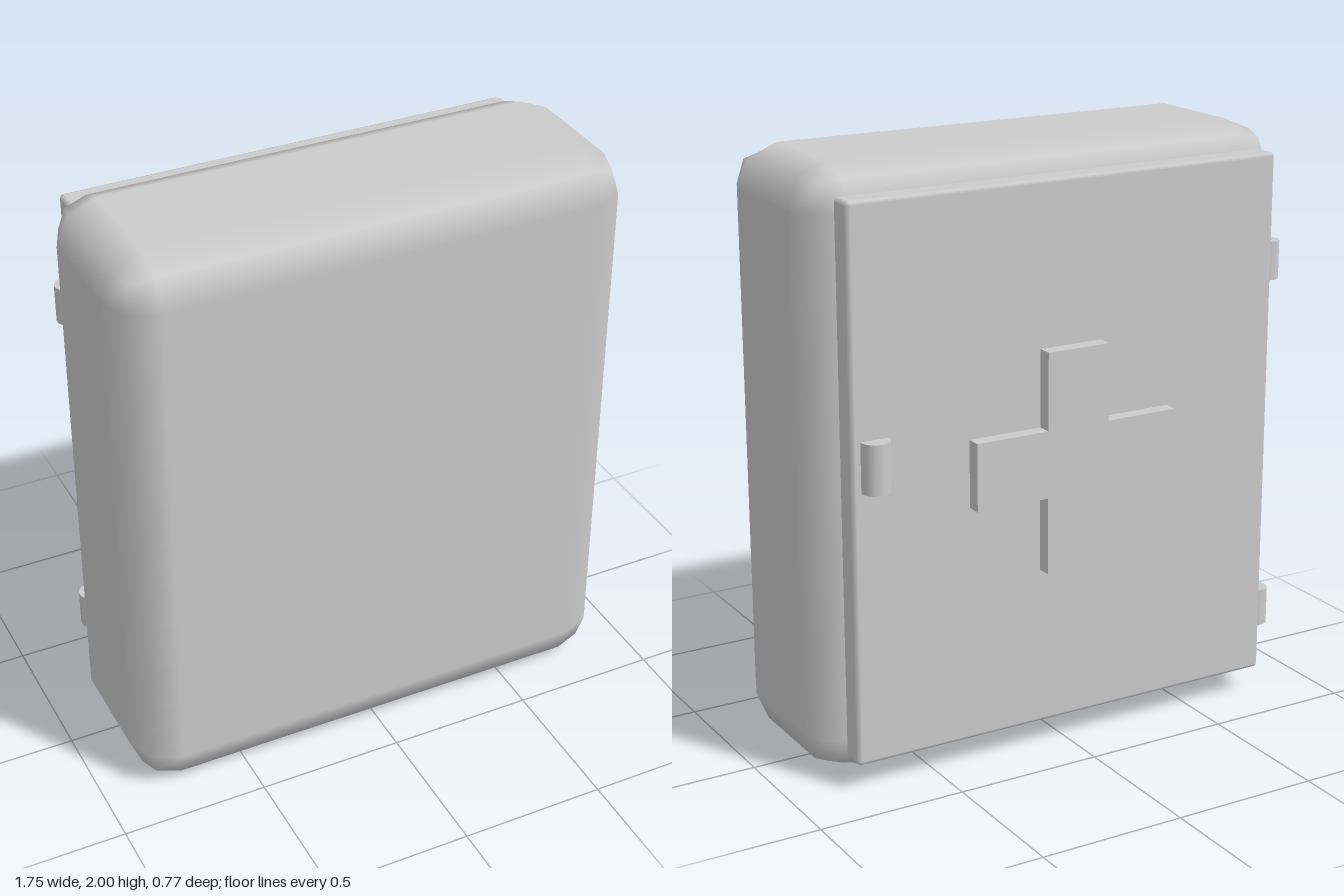
import * as THREE from 'three';
import { RoundedBoxGeometry } from 'three/addons/geometries/RoundedBoxGeometry.js';

export function createModel() {
  const group = new THREE.Group();
  const grey = new THREE.MeshStandardMaterial({ color: 0xcccccc });
  grey.name = 'light grey';

  const add = (name, geometry, x, y, z) => {
    const mesh = new THREE.Mesh(geometry, grey);
    mesh.name = name;
    mesh.position.set(x, y, z);
    group.add(mesh);
  };

  // cabinet body with wide two-step rounded edges
  add('cabinetBody', new RoundedBoxGeometry(1.75, 2, 0.64, 1, 0.14), 0, 1, 0.065);

  // door panel on the back
  add('door', new RoundedBoxGeometry(1.57, 1.83, 0.09, 1, 0.015), 0, 1.002, -0.29);

  // raised cross on the door
  const long = 0.372, arm = 0.113;
  const cross = new THREE.Shape([
    [arm, long], [-arm, long], [-arm, arm], [-long, arm], [-long, -arm], [-arm, -arm],
    [-arm, -long], [arm, -long], [arm, -arm], [long, -arm], [long, arm], [arm, arm],
  ].map(([x, y]) => new THREE.Vector2(x, y)));
  add('cross', new THREE.ExtrudeGeometry(cross, { depth: 0.055, bevelEnabled: false }), 0, 1.002, -0.385);

  // handle
  add('handle', new THREE.CylinderGeometry(0.049, 0.049, 0.165, 24), 0.705, 1.087, -0.341);

  // hinges along the opposite door edge
  for (const [name, y] of [['upperHinge', 1.55], ['lowerHinge', 0.31]]) {
    add(name, new THREE.CylinderGeometry(0.042, 0.042, 0.13, 24), -0.793, y, -0.292);
  }
  return group;
}
